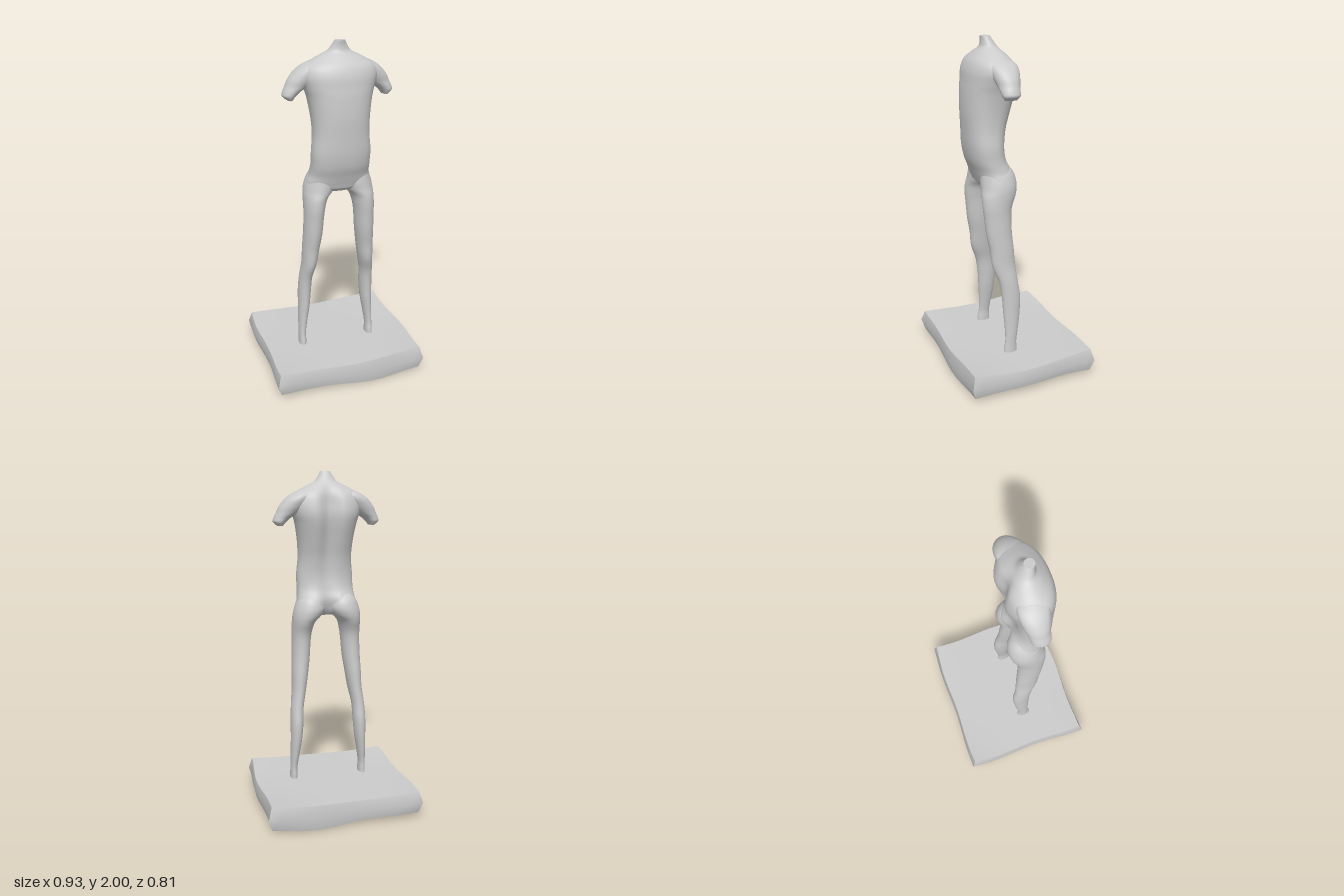
import * as THREE from 'three';

const material = new THREE.MeshStandardMaterial({ color: 0xcccccc });

// Smooth in-between value through four neighbouring rows
function blend(a, b, c, d, t) {
  return b + 0.5 * t * (c - a + t * (2 * a - 5 * b + 4 * c - d + t * (3 * (b - c) + d - a)));
}

// Closed loft through horizontal sections, listed from top to bottom.
// Row: [y, xMin, xMax, zBack, zFront, backGroove, squareness]
function loft(name, rows, segments = 40, steps = 6) {
  const rings = [];
  const last = rows.length - 1;
  for (let i = 0; i < last; i++) {
    for (let s = 0; s < steps; s++) {
      const [a, b, c, d] = [i - 1, i, i + 1, i + 2].map(k => rows[Math.min(last, Math.max(0, k))]);
      rings.push(b.map((v, k) => blend(a[k], v, c[k], d[k], s / steps)));
    }
  }
  rings.push(rows[last]);
  // Repeat the end rings so the caps keep a crisp edge
  const all = [rings[0], ...rings, rings[rings.length - 1]];
  const pos = [], index = [];
  for (const [y, x0, x1, zb, zf, groove = 0, power = 1] of all) {
    const cx = (x0 + x1) / 2, cz = (zb + zf) / 2;
    for (let j = 0; j < segments; j++) {
      const angle = j / segments * Math.PI * 2;
      const c = Math.cos(angle), s = Math.sin(angle);
      const x = cx + (x1 - x0) / 2 * Math.sign(c) * Math.abs(c) ** power;
      let z = cz + (zf - zb) / 2 * Math.sign(s) * Math.abs(s) ** power;
      if (s < 0) z += groove * Math.exp(-((x / 0.05) ** 2));
      pos.push(x, y, z);
    }
  }
  for (let i = 1; i < all.length - 2; i++) {
    for (let j = 0; j < segments; j++) {
      const a = i * segments + j, b = i * segments + (j + 1) % segments;
      index.push(a, b, a + segments, b, b + segments, a + segments);
    }
  }
  // End caps
  for (const top of [true, false]) {
    const r = top ? all[0] : all[all.length - 1];
    const start = top ? 0 : (all.length - 1) * segments;
    const centre = pos.length / 3;
    pos.push((r[1] + r[2]) / 2, r[0], (r[3] + r[4]) / 2);
    for (let j = 0; j < segments; j++) {
      const a = start + j, b = start + (j + 1) % segments;
      index.push(centre, top ? b : a, top ? a : b);
    }
  }
  const geometry = new THREE.BufferGeometry();
  geometry.setAttribute('position', new THREE.Float32BufferAttribute(pos, 3));
  geometry.setIndex(index);
  geometry.computeVertexNormals();
  const mesh = new THREE.Mesh(geometry, material);
  mesh.name = name;
  return mesh;
}

// Rows of a limb on one side: side +1 is left, -1 is right
const sided = (rows, side, dz = 0) => rows.map(([y, a, b, zb, zf]) =>
  [y, side > 0 ? a : -b, side > 0 ? b : -a, zb + dz, zf + dz]);

// [y, half width, zBack, zFront, groove, squareness]
const torsoRows = [
  [2.0, 0.028, 0.09, 0.145, 0, 1],
  [1.97, 0.045, 0.07, 0.143, 0, 1],
  [1.94, 0.07, 0.045, 0.15, 0.005, 1],
  [1.91, 0.13, 0.015, 0.18, 0.015, 0.95],
  [1.87, 0.195, -0.015, 0.215, 0.03, 0.9],
  [1.82, 0.215, -0.033, 0.235, 0.042, 0.9],
  [1.76, 0.2, -0.042, 0.243, 0.045, 0.85],
  [1.7, 0.182, -0.036, 0.25, 0.045, 0.85],
  [1.6, 0.166, -0.01, 0.254, 0.04, 0.85],
  [1.5, 0.161, 0.018, 0.25, 0.03, 0.85],
  [1.4, 0.17, 0.032, 0.244, 0.02, 0.85],
  [1.32, 0.171, 0.022, 0.23, 0.018, 0.85],
  [1.26, 0.177, -0.008, 0.208, 0.035, 0.85],
  [1.21, 0.192, -0.021, 0.19, 0.06, 0.85],
  [1.18, 0.165, -0.008, 0.178, 0.06, 0.9],
  [1.16, 0.1, 0.035, 0.15, 0.03, 1],
];

// [y, inner x, outer x, zBack, zFront]
const legRows = [
  [1.32, 0.06, 0.13, 0.06, 0.16],
  [1.26, 0.02, 0.174, 0.0, 0.18],
  [1.21, 0.008, 0.195, -0.02, 0.187],
  [1.165, 0.03, 0.205, -0.02, 0.19],
  [1.12, 0.07, 0.208, -0.006, 0.196],
  [1.06, 0.088, 0.209, 0.018, 0.196],
  [1.0, 0.096, 0.209, 0.026, 0.19],
  [0.9, 0.104, 0.212, 0.024, 0.18],
  [0.8, 0.118, 0.216, 0.016, 0.162],
  [0.7, 0.134, 0.219, 0.01, 0.15],
  [0.6, 0.153, 0.23, 0.0, 0.115],
  [0.5, 0.159, 0.235, -0.014, 0.1],
  [0.4, 0.168, 0.236, -0.01, 0.094],
  [0.3, 0.184, 0.238, 0.004, 0.088],
  [0.22, 0.196, 0.239, 0.017, 0.088],
  [0.17, 0.196, 0.24, 0.016, 0.096],
  [0.12, 0.194, 0.242, 0.015, 0.1],
];

const armRows = [
  [1.892, 0.09, 0.165, 0.05, 0.13],
  [1.87, 0.08, 0.21, 0.01, 0.16],
  [1.84, 0.09, 0.25, 0.0, 0.162],
  [1.8, 0.12, 0.283, 0.008, 0.155],
  [1.765, 0.165, 0.3, 0.02, 0.145],
  [1.735, 0.215, 0.314, 0.03, 0.14],
  [1.712, 0.242, 0.317, 0.035, 0.135],
  [1.69, 0.26, 0.292, 0.05, 0.122],
];

// Rough hewn slab: a box with wavy edges, raised corners and an uneven underside
function makeBase() {
  const geometry = new THREE.BoxGeometry(2, 2, 2, 14, 2, 14);
  const p = geometry.attributes.position;
  for (let i = 0; i < p.count; i++) {
    const u = p.getX(i), v = p.getY(i), w = p.getZ(i);
    const corner = u * u * w * w;
    const grow = v === 0 ? 0.012 : -0.008 * corner;
    const x = u * (0.447 + grow + 0.008 * Math.sin(4 * w + 1) * u);
    const z = w * (0.386 + grow + 0.006 * Math.sin(5 * u + w));
    const top = 0.146 + 0.017 * corner + 0.003 * u * w * w;
    const dip = Math.exp(-(((u - 0.38) / 0.45) ** 2));
    const bottom = 0.04 - w * w * (0.012 + 0.028 * dip);
    p.setXYZ(i, x, bottom + (top - bottom) * (v + 1) / 2, z);
  }
  geometry.computeVertexNormals();
  const mesh = new THREE.Mesh(geometry, material);
  mesh.name = 'base';
  return mesh;
}

export function createModel() {
  const group = new THREE.Group();
  group.name = 'torsoStatue';
  group.add(makeBase());
  group.add(loft('torso', torsoRows.map(([y, r, ...rest]) => [y, -r, r, ...rest]), 64));
  for (const side of [1, -1]) {
    const word = side > 0 ? 'left' : 'right';
    group.add(loft(word + 'Leg', sided(legRows, side, side > 0 ? 0.003 : -0.004)));
    group.add(loft(word + 'ArmStump', sided(armRows, side)));
  }
  return group;
}
